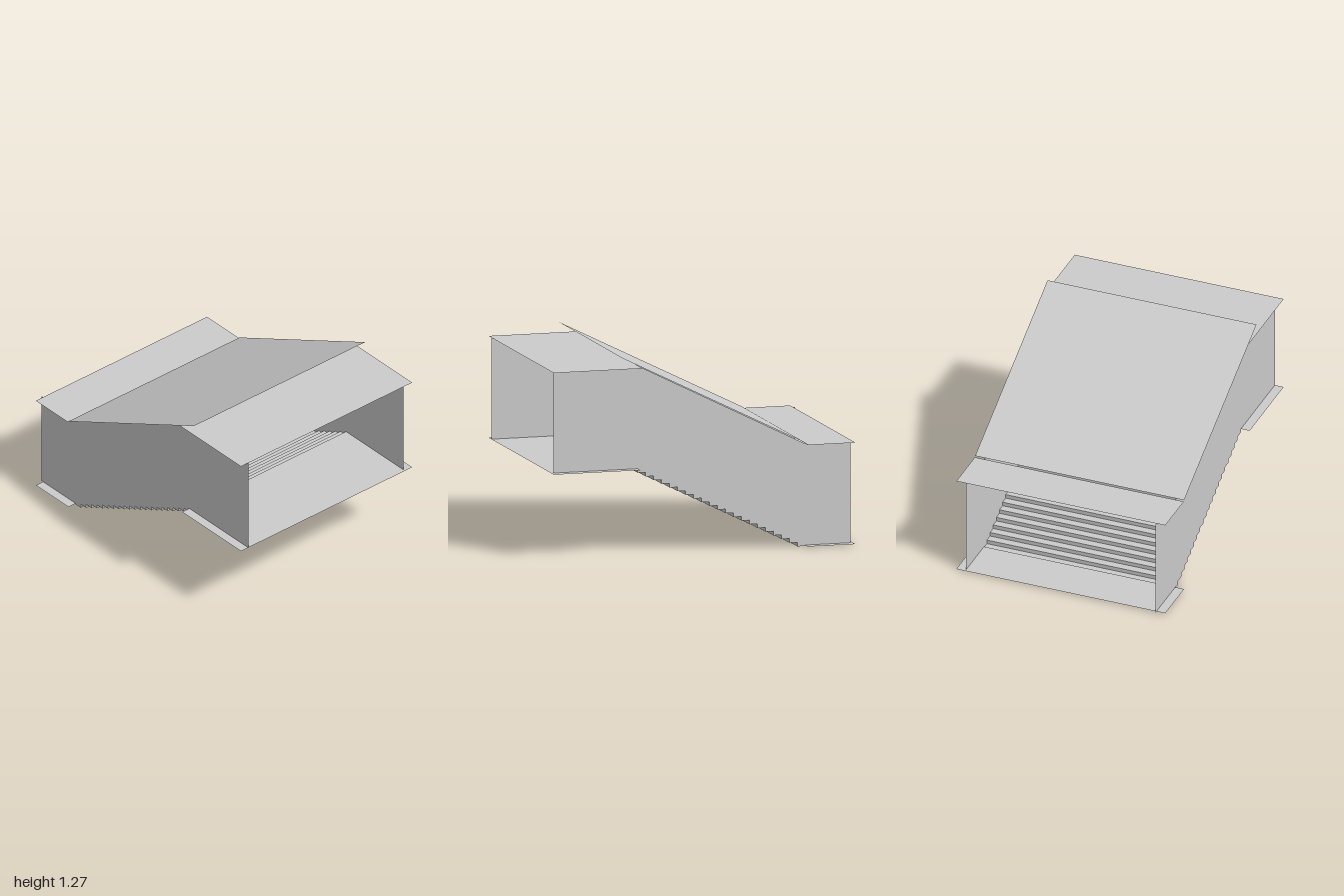
import * as THREE from 'three';

const W = 0.65;      // half distance between the walls
const EAVE = 0.71;   // half width of floors and roofs
const STEPS = 21, TOP = 0.55, Z0 = 0.43, RUN = 0.0525, RISE = TOP / STEPS;

const material = new THREE.MeshStandardMaterial({
  color: 0xcccccc, side: THREE.DoubleSide, flatShading: true,
});

// Sheet spanning -half..half in x, swept along a [z, y] profile
function sheet(name, profile, half) {
  const pos = [];
  for (let i = 0; i < profile.length - 1; i++) {
    const [za, ya] = profile[i], [zb, yb] = profile[i + 1];
    const a = [-half, ya, za], b = [half, ya, za], c = [half, yb, zb], d = [-half, yb, zb];
    pos.push(...a, ...b, ...c, ...a, ...c, ...d);
  }
  const geo = new THREE.BufferGeometry();
  geo.setAttribute('position', new THREE.Float32BufferAttribute(pos, 3));
  geo.computeVertexNormals();
  const mesh = new THREE.Mesh(geo, material);
  mesh.name = name;
  return mesh;
}

// Zigzag of risers and treads, from the upper landing down
function stairProfile() {
  const pts = [[Z0, TOP]];
  for (let i = 1; i <= STEPS; i++) {
    const y = TOP - i * RISE, z = Z0 - (i - 1) * RUN;
    pts.push([z, y], [z - RUN, y]);
  }
  return pts;
}

// Thin side wall whose lower edge follows the stairs
function wall(name, x, front, back) {
  const outline = [
    [front, 1.2], [front, TOP], ...stairProfile(), [-0.67, 0.006],
    [back, 0.006], [back, 0.655], [-0.67, 0.655], [0.415, 1.2],
  ];
  const shape = new THREE.Shape(outline.map(([z, y]) => new THREE.Vector2(-z, y)));
  const mesh = new THREE.Mesh(new THREE.ShapeGeometry(shape), material);
  mesh.rotation.y = Math.PI / 2;
  mesh.position.x = x;
  mesh.name = name;
  return mesh;
}

export function createModel() {
  const model = new THREE.Group();
  model.name = 'coveredStairway';
  model.add(
    // Walking surfaces
    sheet('upperLanding', [[1, TOP], [Z0, TOP]], EAVE),
    sheet('stairs', stairProfile(), W),
    sheet('lowerLanding', [[-0.67, 0.006], [-0.985, 0.006]], EAVE),
    // Roof panels, the sloping one overshooting the upper flat roof
    sheet('upperRoof', [[1, 1.2], [0.415, 1.2]], EAVE),
    sheet('slopingRoof', [[0.545, 1.27], [-0.67, 0.663]], EAVE),
    sheet('lowerRoof', [[-0.675, 0.655], [-0.985, 0.655]], EAVE),
    // Side walls
    wall('leftWall', W, 0.985, -0.97),
    wall('rightWall', -W, 1, -1),
  );
  return model;
}
